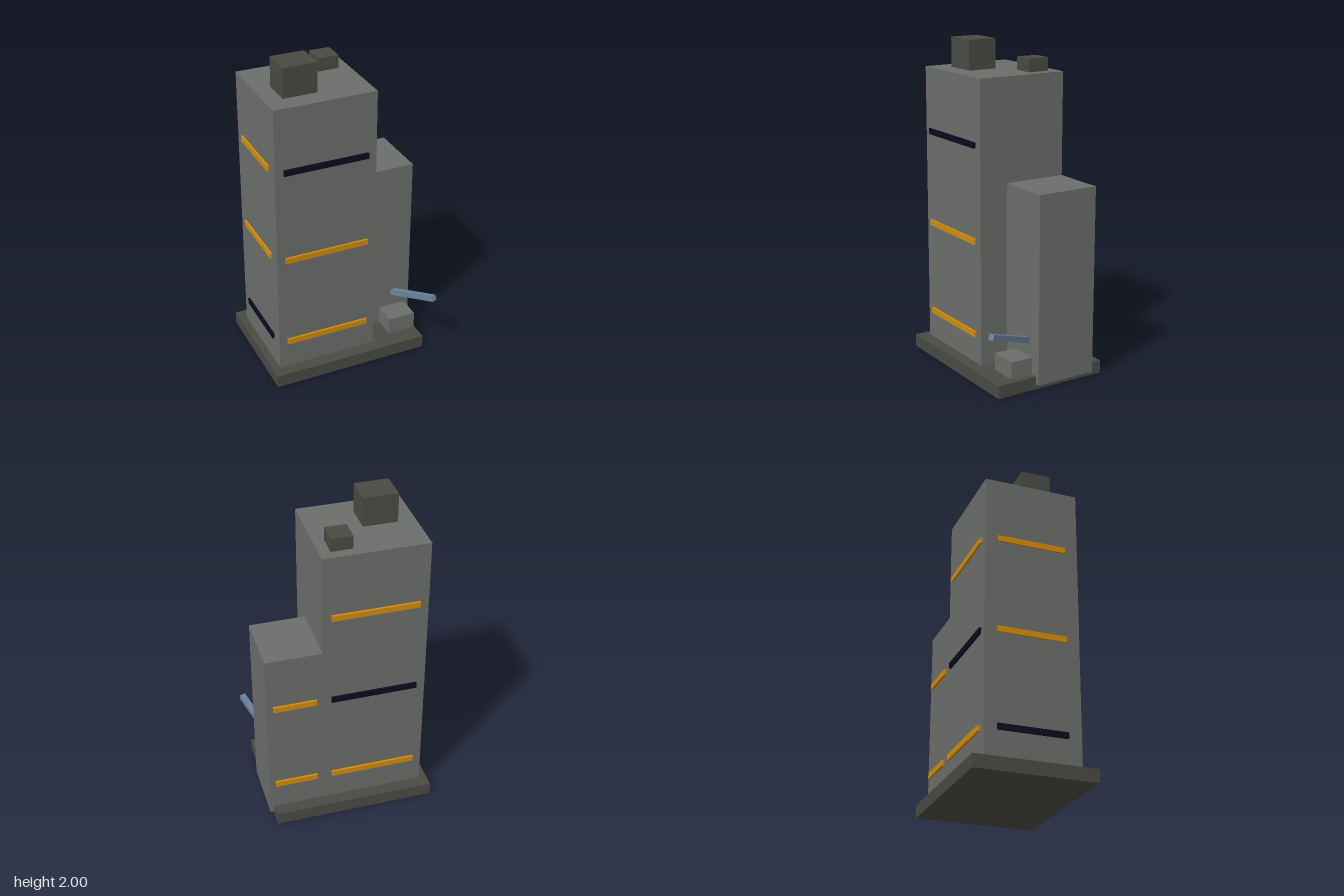
import * as THREE from 'three';

const flat = (name, color) => {
  const m = new THREE.MeshStandardMaterial({ color });
  m.name = name;
  return m;
};

export function createModel() {
  const concrete = flat('concrete grey', 0x6b6e6a);
  const dark = flat('dark grey', 0x4a4a44);
  const lit = flat('lit window amber', 0xd08c0c);
  const unlit = flat('unlit window navy', 0x0a0a1e);
  const steel = flat('steel blue', 0x6a8199);

  const model = new THREE.Group();
  model.name = 'towerBlock';

  // Box given by its extents on each axis
  const box = (name, mat, [x0, x1], [y0, y1], [z0, z1]) => {
    const mesh = new THREE.Mesh(new THREE.BoxGeometry(x1 - x0, y1 - y0, z1 - z0), mat);
    mesh.position.set((x0 + x1) / 2, (y0 + y1) / 2, (z0 + z1) / 2);
    mesh.name = name;
    model.add(mesh);
    return mesh;
  };

  // Plinth, tower and annex
  box('plinth', dark, [-0.523, 0.472], [0, 0.08], [-0.406, 0.328]);
  box('tower', concrete, [-0.475, 0.156], [0.06, 1.818], [-0.327, 0.25]);
  box('annex', concrete, [0.156, 0.498], [0.032, 1.188], [-0.327, 0.065]);

  // Rooftop units
  box('largeRoofUnit', dark, [-0.368, -0.159], [1.818, 2], [-0.054, 0.13]);
  box('smallRoofUnit', dark, [-0.04, 0.09], [1.818, 1.898], [-0.265, -0.13]);

  // Low block beside the annex
  box('lowBlock', concrete, [0.28, 0.458], [0.093, 0.2], [0.084, 0.23]);

  // Window bands on each floor; one band per tower wall is unlit
  [0.265, 0.845, 1.425].forEach((y, floor) => {
    const h = [y - 0.018, y + 0.018];
    box('frontWindow', floor === 2 ? unlit : lit, [-0.422, 0.104], h, [0.25, 0.263]);
    box('backWindow', floor === 1 ? unlit : lit, [-0.422, 0.104], h, [-0.341, -0.327]);
    box('rightSideWindow', floor === 0 ? unlit : lit, [-0.487, -0.475], h, [-0.25, 0.168]);
    if (floor < 2) box('annexBackWindow', lit, [0.195, 0.459], h, [-0.341, -0.327]);
  });

  // Slanted beam rising out of the annex front
  const start = new THREE.Vector3(0.378, 0.276, 0.043);
  const end = new THREE.Vector3(0.502, 0.406, 0.396);
  const beam = new THREE.Mesh(new THREE.BoxGeometry(0.035, 0.035, start.distanceTo(end)), steel);
  beam.position.copy(start).lerp(end, 0.5);
  beam.lookAt(end);
  beam.name = 'slantedBeam';
  model.add(beam);

  return model;
}
